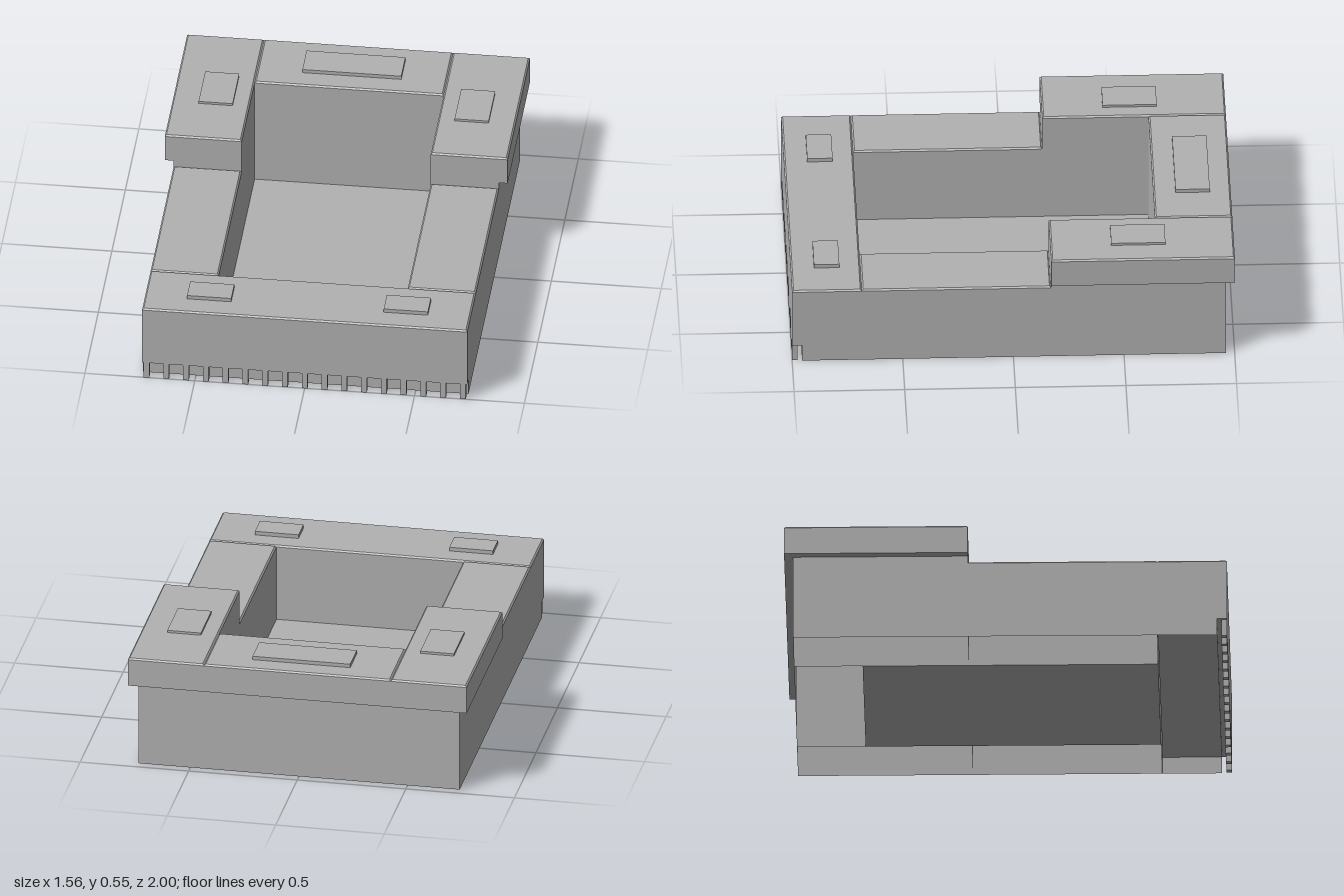
import * as THREE from 'three';

const CHAMFER = 0.007;

// Shell lofted through rectangular rings [x0, x1, z0, z1, y], open below, capped on top
function ringShell(rings) {
  const pos = [];
  const corners = ([x0, x1, z0, z1, y]) => [[x0, y, z1], [x1, y, z1], [x1, y, z0], [x0, y, z0]]
    .map(p => new THREE.Vector3(...p));
  const tri = (a, b, c) => {
    const area = b.clone().sub(a).cross(c.clone().sub(a)).length();
    if (area > 1e-8) for (const p of [a, b, c]) pos.push(p.x, p.y, p.z);
  };
  const quad = (a, b, c, d) => { tri(a, b, c); tri(a, c, d); };
  const loops = rings.map(corners);
  for (let r = 0; r < loops.length - 1; r++) {
    for (let i = 0; i < 4; i++) {
      const j = (i + 1) % 4;
      quad(loops[r][i], loops[r][j], loops[r + 1][j], loops[r + 1][i]);
    }
  }
  quad(...loops[loops.length - 1]);
  const g = new THREE.BufferGeometry();
  g.setAttribute('position', new THREE.Float32BufferAttribute(pos, 3));
  g.computeVertexNormals();
  return g;
}

// Straight wall up to a chamfered top
function topRings(x0, x1, z0, z1, yLow, yTop) {
  const c = CHAMFER;
  return [
    [x0, x1, z0, z1, yLow],
    [x0, x1, z0, z1, yTop - c],
    [x0 + c, x1 - c, z0 + c, z1 - c, yTop],
  ];
}

export function createModel() {
  const group = new THREE.Group();
  const grey = new THREE.MeshStandardMaterial({ color: 0xb2b2b2, side: THREE.DoubleSide });
  grey.name = 'plain grey';

  const add = (name, geometry) => {
    const mesh = new THREE.Mesh(geometry, grey);
    mesh.name = name;
    group.add(mesh);
    return mesh;
  };
  const box = (name, x0, x1, y0, y1, z0, z1) =>
    add(name, new THREE.BoxGeometry(x1 - x0, y1 - y0, z1 - z0))
      .position.set((x0 + x1) / 2, (y0 + y1) / 2, (z0 + z1) / 2);

  // Floor of the central well
  box('wellFloor', -0.43, 0.43, 0, 0.006, -0.65, 0.685);

  // Front section with a recessed skirt and closed underside
  add('frontSection', ringShell([
    [-0.74, 0.74, 0.685, 0.955, 0],
    [-0.74, 0.74, 0.685, 0.955, 0.08],
    ...topRings(-0.74, 0.74, 0.685, 1, 0.08, 0.372),
  ]));
  box('frontUnderside', -0.738, 0.738, 0.08, 0.085, 0.687, 0.955);

  // Comb of teeth along the front edge
  for (let i = -8; i <= 8; i++) {
    const x = i * 0.09;
    box('frontTooth', x - 0.013, x + 0.013, 0, 0.08, 0.975, 1);
  }

  // Back section, open below, with an overhanging rim
  add('backSection', ringShell([
    [-0.43, 0.43, -0.96, -0.65, 0],
    [-0.43, 0.43, -0.96, -0.65, 0.4],
    ...topRings(-0.43, 0.43, -1, -0.65, 0.4, 0.535),
  ]));
  box('backPad', -0.225, 0.225, 0.53, 0.552, -0.905, -0.75);

  for (const s of [1, -1]) {
    const side = s > 0 ? 'left' : 'right';
    // Order the two x bounds after mirroring
    const span = (a, b) => (s > 0 ? [a, b] : [-b, -a]);

    // Low side sections
    add(side + 'SideSection', ringShell(topRings(...span(0.43, 0.74), -0.17, 0.685, 0, 0.372)));

    // Raised back corners with an overhanging rim
    add(side + 'BackCorner', ringShell([
      [...span(0.43, 0.74), -0.96, -0.17, 0],
      [...span(0.43, 0.74), -0.96, -0.17, 0.4],
      ...topRings(...span(0.43, 0.78), -1, -0.17, 0.4, 0.535),
    ]));

    // Raised pads
    box(side + 'CornerPad', ...span(0.505, 0.66), 0.53, 0.546, -0.69, -0.445);
    box(side + 'FrontPad', ...span(0.347, 0.548), 0.368, 0.39, 0.78, 0.895);
  }
  return group;
}
